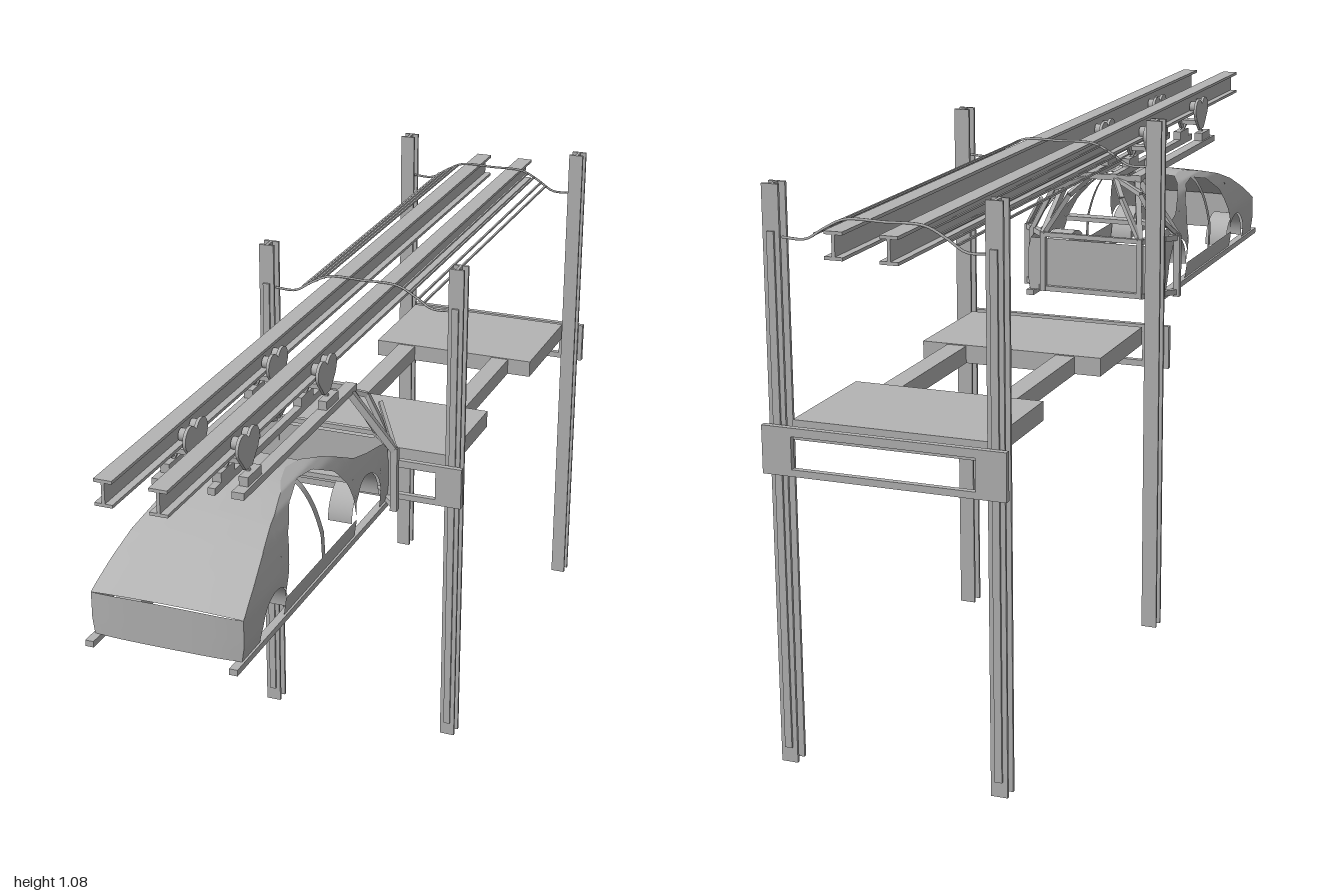
import * as THREE from 'three';

const steel = new THREE.MeshStandardMaterial({ color: 0xb4b4b4, side: THREE.DoubleSide });
steel.name = 'plain grey steel';

const V = (x, y, z) => new THREE.Vector3(x, y, z);

function add(parent, name, geometry) {
  const m = new THREE.Mesh(geometry, steel);
  m.name = name;
  parent.add(m);
  return m;
}

// Box given by its limits on each axis
function box(parent, name, x0, x1, y0, y1, z0, z1) {
  const m = add(parent, name, new THREE.BoxGeometry(Math.abs(x1 - x0), y1 - y0, Math.abs(z1 - z0)));
  m.position.set((x0 + x1) / 2, (y0 + y1) / 2, (z0 + z1) / 2);
  return m;
}

// Square bar between two points
function bar(parent, name, a, b, t) {
  const m = add(parent, name, new THREE.BoxGeometry(t, t, a.distanceTo(b)));
  m.position.copy(a).add(b).multiplyScalar(0.5);
  m.lookAt(b);
  return m;
}

// Smooth grid surface from a function of u and v
function surface(parent, name, nu, nv, fn) {
  const pos = [], idx = [];
  for (let i = 0; i <= nu; i++) for (let j = 0; j <= nv; j++) pos.push(...fn(i / nu, j / nv));
  for (let i = 0; i < nu; i++) for (let j = 0; j < nv; j++) {
    const a = i * (nv + 1) + j, b = a + nv + 1;
    idx.push(a, b, a + 1, b, b + 1, a + 1);
  }
  const g = new THREE.BufferGeometry();
  g.setAttribute('position', new THREE.Float32BufferAttribute(pos, 3));
  g.setIndex(idx);
  g.computeVertexNormals();
  return add(parent, name, g);
}

// Piecewise curve through [key, value] pairs with rising keys
function lookup(table) {
  return (k) => {
    if (k <= table[0][0]) return table[0][1];
    for (let i = 1; i < table.length; i++) {
      const [a, p] = table[i - 1], [b, q] = table[i];
      if (k <= b) return p + (q - p) * (k - a) / (b - a);
    }
    return table[table.length - 1][1];
  };
}

function ibeamShape(w, h, t) {
  const s = new THREE.Shape(), a = w / 2, b = h / 2, c = t / 2;
  [[-a, -b], [a, -b], [a, t - b], [c, t - b], [c, b - t], [a, b - t], [a, b], [-a, b],
    [-a, b - t], [-c, b - t], [-c, t - b], [-a, t - b]]
    .forEach(([x, y], i) => (i ? s.lineTo(x, y) : s.moveTo(x, y)));
  return s;
}
const extrude = (shape, depth) =>
  new THREE.ExtrudeGeometry(shape, { depth, bevelEnabled: false, curveSegments: 12 });

function buildLift() {
  const g = new THREE.Group();
  g.name = 'liftFrame';
  for (const [zc, out] of [[-0.061, 1], [-0.906, -1]]) {
    // Columns with guide rails on the outer flange
    for (const x of [-0.208, 0.208]) {
      const col = add(g, 'column', extrude(ibeamShape(0.032, 0.033, 0.006), 1.083));
      col.rotation.x = -Math.PI / 2;
      col.position.set(x, 0, zc);
      box(g, 'guideRail', x - 0.007, x + 0.007, 0.03, 1, zc + out * 0.0165, zc + out * 0.021);
    }
    // Slotted end plate
    const s = new THREE.Shape();
    s.moveTo(-0.233, 0.562); s.lineTo(0.233, 0.562); s.lineTo(0.233, 0.652); s.lineTo(-0.233, 0.652);
    const h = new THREE.Path();
    h.moveTo(-0.176, 0.575); h.lineTo(-0.176, 0.636); h.lineTo(0.176, 0.636); h.lineTo(0.176, 0.575);
    s.holes.push(h);
    add(g, 'endPlate', extrude(s, 0.012)).position.z = zc + out * 0.026 - 0.006;
    // Cable yoke over the rails
    const pts = [[-0.195, 0.987], [-0.15, 0.987], [-0.115, 1.008], [-0.075, 1.027], [0, 1.028],
      [0.075, 1.027], [0.115, 1.008], [0.15, 0.987], [0.195, 0.987]].map(([x, y]) => V(x, y, zc));
    add(g, 'cableYoke', new THREE.TubeGeometry(new THREE.CatmullRomCurve3(pts), 40, 0.0025, 6));
  }
  // Two platforms joined by side beams
  box(g, 'rearPlatform', -0.188, 0.188, 0.62, 0.657, -0.905, -0.645);
  box(g, 'frontPlatform', -0.188, 0.188, 0.62, 0.657, -0.335, -0.08);
  for (const s of [-1, 1]) {
    box(g, 'platformBeam', s * 0.095, s * 0.135, 0.62, 0.655, -0.645, -0.335);
    // Long cables
    [[0.133, 0.997], [0.121, 1.004], [0.103, 1.014], [0.087, 1.022]].forEach(([x, y]) =>
      bar(g, 'longCable', V(s * x, y, -0.906), V(s * x, y, -0.061), 0.004));
  }
  return g;
}

function buildTrolley(parent, s, z) {
  // Twin-lobed cheek plates around wheels
  const c = new THREE.Shape();
  c.moveTo(-0.014, 0.938); c.lineTo(0.014, 0.938); c.lineTo(0.04, 0.965);
  c.absarc(0.023, 0.985, 0.024, -0.6, Math.PI * 0.72, false);
  c.lineTo(0, 0.996);
  c.absarc(-0.023, 0.985, 0.024, Math.PI * 0.28, Math.PI + 0.6, false);
  const cx = s * 0.051;
  for (const k of [-1, 1]) {
    const plate = add(parent, 'trolleyCheek', extrude(c, 0.006));
    plate.rotation.y = Math.PI / 2;
    plate.position.set(cx + k * 0.022 - 0.003, 0, z);
    for (const dz of [-0.023, 0.023]) {
      const w = add(parent, 'trolleyWheel', new THREE.CylinderGeometry(0.012, 0.012, 0.014, 16));
      w.rotation.z = Math.PI / 2;
      w.position.set(cx + k * 0.012, 0.992, z + dz);
    }
    // Link down to the carrier bar
    const px = cx + k * 0.026;
    bar(parent, 'trolleyLink', V(cx + k * 0.014, 0.95, z), V(px, 0.925, z), 0.007);
    box(parent, 'carrierPad', px - 0.009, px + 0.009, 0.912, 0.932, z - 0.03, z + 0.03);
  }
  box(parent, 'trolleyBridge', cx - 0.022, cx + 0.022, 0.948, 0.958, z - 0.014, z + 0.014);
}

function buildConveyor() {
  const g = new THREE.Group();
  g.name = 'overheadConveyor';
  for (const s of [-1, 1]) {
    add(g, 'overheadRail', extrude(ibeamShape(0.034, 0.05, 0.006), 2)).position.set(s * 0.051, 1.002, -1);
    buildTrolley(g, s, 0.687);
    buildTrolley(g, s, 0.318);
    box(g, 'outerCarrierBar', s * 0.066, s * 0.09, 0.9, 0.914, 0.2, 0.745);
    box(g, 'innerCarrierBar', s * 0.02, s * 0.034, 0.9, 0.914, 0.2, 0.745);
    // Hanger: posts, sloping arms and braces at the rear
    const p = (x, y, z) => V(s * x, y, z);
    const rods = [
      [[0.172, 0.655, 0.205], [0.172, 0.79, 0.205], 0.014], [[0.11, 0.66, 0.135], [0.11, 0.79, 0.135], 0.012],
      [[0.15, 0.66, 0.17], [0.15, 0.79, 0.17], 0.01],
      [[0.172, 0.785, 0.205], [0.11, 0.785, 0.135], 0.012], [[0.172, 0.665, 0.205], [0.11, 0.665, 0.135], 0.012],
      [[0.172, 0.785, 0.205], [0.08, 0.905, 0.22], 0.014], [[0.11, 0.785, 0.135], [0.078, 0.905, 0.21], 0.012],
      [[0.15, 0.785, 0.17], [0.1, 0.88, 0.17], 0.01], [[0.1, 0.88, 0.17], [0.027, 0.905, 0.21], 0.01],
      [[0.11, 0.785, 0.135], [0.06, 0.87, 0.16], 0.01], [[0.06, 0.87, 0.16], [0.027, 0.905, 0.21], 0.01],
      [[0.172, 0.79, 0.205], [0.12, 0.86, 0.15], 0.008],
    ];
    rods.forEach(([a, b, t]) => bar(g, 'hangerRod', p(...a), p(...b), t));
    // Skid under the sill
    box(g, 'skid', s * 0.132, s * 0.148, 0.648, 0.66, 0.13, 0.915);
  }
  box(g, 'hangerUpperCross', -0.11, 0.11, 0.78, 0.79, 0.13, 0.14);
  box(g, 'hangerLowerCross', -0.11, 0.11, 0.66, 0.671, 0.13, 0.14);
  box(g, 'hangerTopCross', -0.09, 0.09, 0.9, 0.912, 0.2, 0.212);
  return g;
}

function buildCar() {
  const g = new THREE.Group();
  g.name = 'carBody';
  const top = lookup([[0.14, 0.775], [0.2, 0.788], [0.26, 0.797], [0.32, 0.81], [0.37, 0.832], [0.42, 0.852],
    [0.47, 0.863], [0.52, 0.866], [0.57, 0.861], [0.62, 0.851], [0.69, 0.834], [0.75, 0.813],
    [0.81, 0.784], [0.86, 0.757], [0.885, 0.742]]);
  const opening = lookup([[0.35, 0.7], [0.375, 0.78], [0.41, 0.82], [0.47, 0.847], [0.53, 0.853],
    [0.6, 0.838], [0.65, 0.803], [0.675, 0.76], [0.7, 0.7]]);
  const width = lookup([[0.655, 0.143], [0.69, 0.148], [0.745, 0.148], [0.78, 0.14], [0.81, 0.13],
    [0.84, 0.113], [0.855, 0.098], [0.866, 0.072]]);
  const arch = (z, zc, yc, r) => (Math.abs(z - zc) < r ? yc + Math.sqrt(r * r - (z - zc) ** 2) : 0.66);
  const lower = (z) => Math.max(arch(z, 0.74, 0.665, 0.065), arch(z, 0.29, 0.69, 0.072));

  for (const s of [-1, 1]) {
    const side = (name, z0, z1, lo, hi) => surface(g, name, 48, 10, (u, v) => {
      const z = z0 + (z1 - z0) * u, y = lo(z) + (hi(z) - lo(z)) * v;
      return [s * width(y), y, z];
    });
    side('frontFender', 0.885, 0.7, lower, top);
    side('rearQuarter', 0.35, 0.14, lower, top);
    side('roofSideRail', 0.7, 0.35, opening, top);
    side('sill', 0.7, 0.35, () => 0.655, () => 0.695);
    // Centre pillar following the body curve
    surface(g, 'centrePillar', 12, 2, (u, v) => {
      const y = 0.69 + 0.168 * u;
      return [s * width(y), y, 0.51 + 0.02 * u + 0.016 * v];
    });
    // Wheel housings
    for (const [zc, yc, r] of [[0.74, 0.665, 0.065], [0.29, 0.69, 0.072]]) {
      const h = add(g, 'wheelHousing', new THREE.CylinderGeometry(r, r, 0.05, 24, 1, true, 0, Math.PI));
      h.rotation.z = Math.PI / 2;
      h.position.set(s * 0.118, yc, zc);
      const w = add(g, 'wheelHousingWall', new THREE.CircleGeometry(r, 24, 0, Math.PI));
      w.rotation.y = Math.PI / 2;
      w.position.set(s * 0.093, yc, zc);
    }
  }
  // Bonnet, windscreen and roof in one skin
  surface(g, 'bonnetAndRoofSkin', 40, 12, (u, v) => {
    const z = 0.885 - 0.41 * u, k = v * 2 - 1;
    return [k * width(top(z)), top(z) + 0.003 * (1 - k * k), z];
  });
  // Nose, tail and rear shelf
  surface(g, 'nosePanel', 8, 12, (u, v) => {
    const y = 0.66 + 0.082 * u, k = v * 2 - 1;
    return [k * width(y), y + 0.003 * u * (1 - k * k), 0.885 + 0.005 * (1 - k ** 4)];
  });
  surface(g, 'tailPanel', 8, 8, (u, v) => {
    const y = 0.66 + 0.115 * u;
    return [(v * 2 - 1) * width(y), y, 0.14];
  });
  box(g, 'rearShelf', -0.13, 0.13, 0.775, 0.785, 0.33, 0.36);
  return g;
}

export function createModel() {
  const model = new THREE.Group();
  model.name = 'carBodyConveyorLift';
  model.add(buildLift(), buildConveyor(), buildCar());
  model.children.forEach((c) => { c.position.x = -0.002; });
  return model;
}
